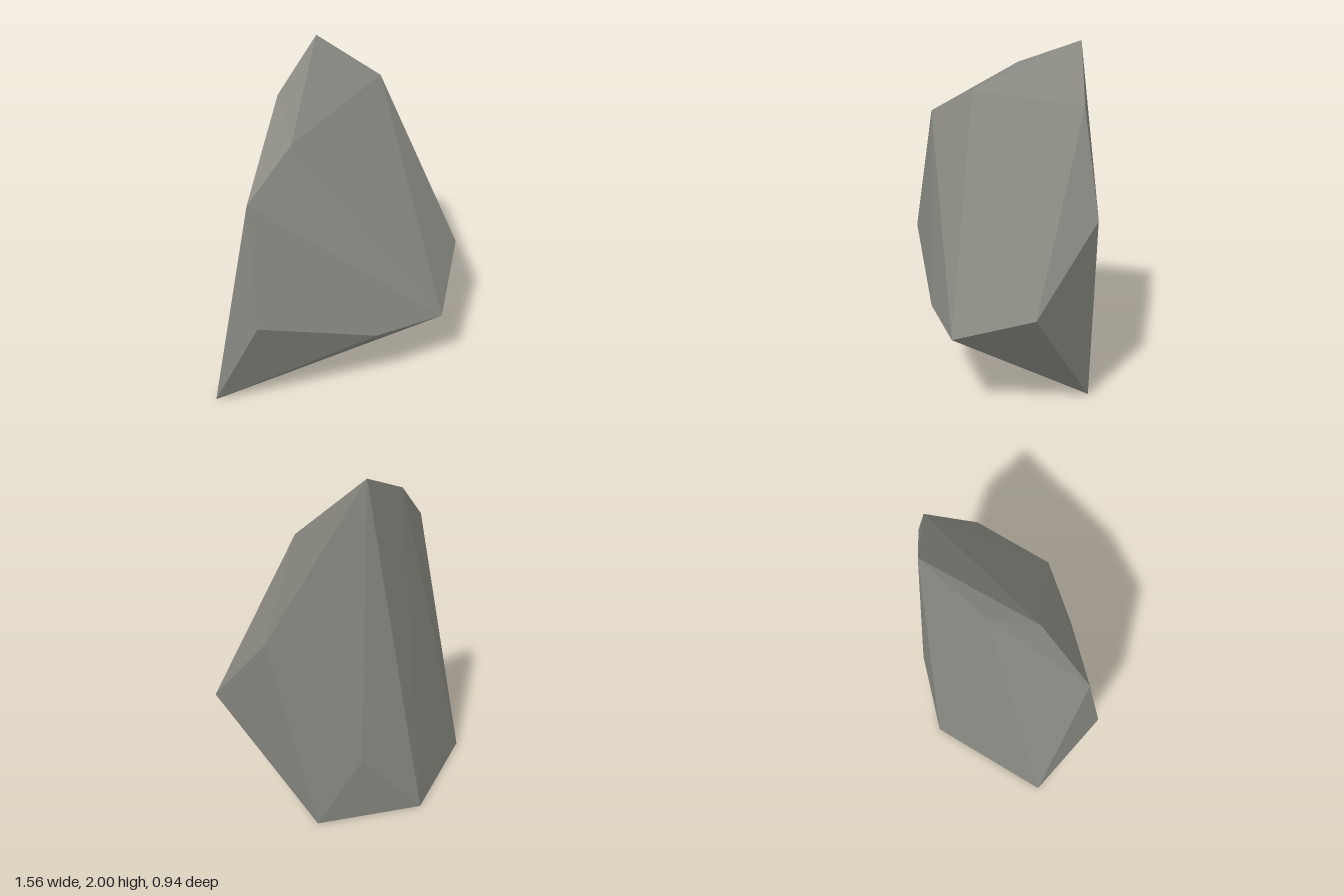
import * as THREE from 'three';
import { ConvexGeometry } from 'three/addons/geometries/ConvexGeometry.js';

export function createModel() {
  const group = new THREE.Group();
  group.name = 'rock';

  const stone = new THREE.MeshStandardMaterial({ color: 0x8a8a83, flatShading: true });
  stone.name = 'grey stone';

  // Corners of the faceted boulder, from peak to foot
  const corners = [
    // crown
    [0.08, 2.0, -0.385], [-0.26, 1.83, -0.13], [0.43, 1.73, -0.285],
    [-0.3, 1.67, 0.13], [-0.62, 1.49, 0.3],
    // middle
    [0.62, 1.16, -0.305], [-0.635, 0.77, 0.405], [0.78, 0.71, 0.08],
    // overhanging front lip and back bulge
    [0.05, 0.53, 0.47], [0.48, 0.515, 0.455], [0.13, 0.4, -0.44 - 0.015],
    // triangular foot
    [-0.78, 0, 0.03], [0.365, 0, -0.37], [-0.24, 0, -0.47],
  ].map((p) => new THREE.Vector3(...p));

  const boulder = new THREE.Mesh(new ConvexGeometry(corners), stone);
  boulder.name = 'boulder';
  group.add(boulder);
  return group;
}
